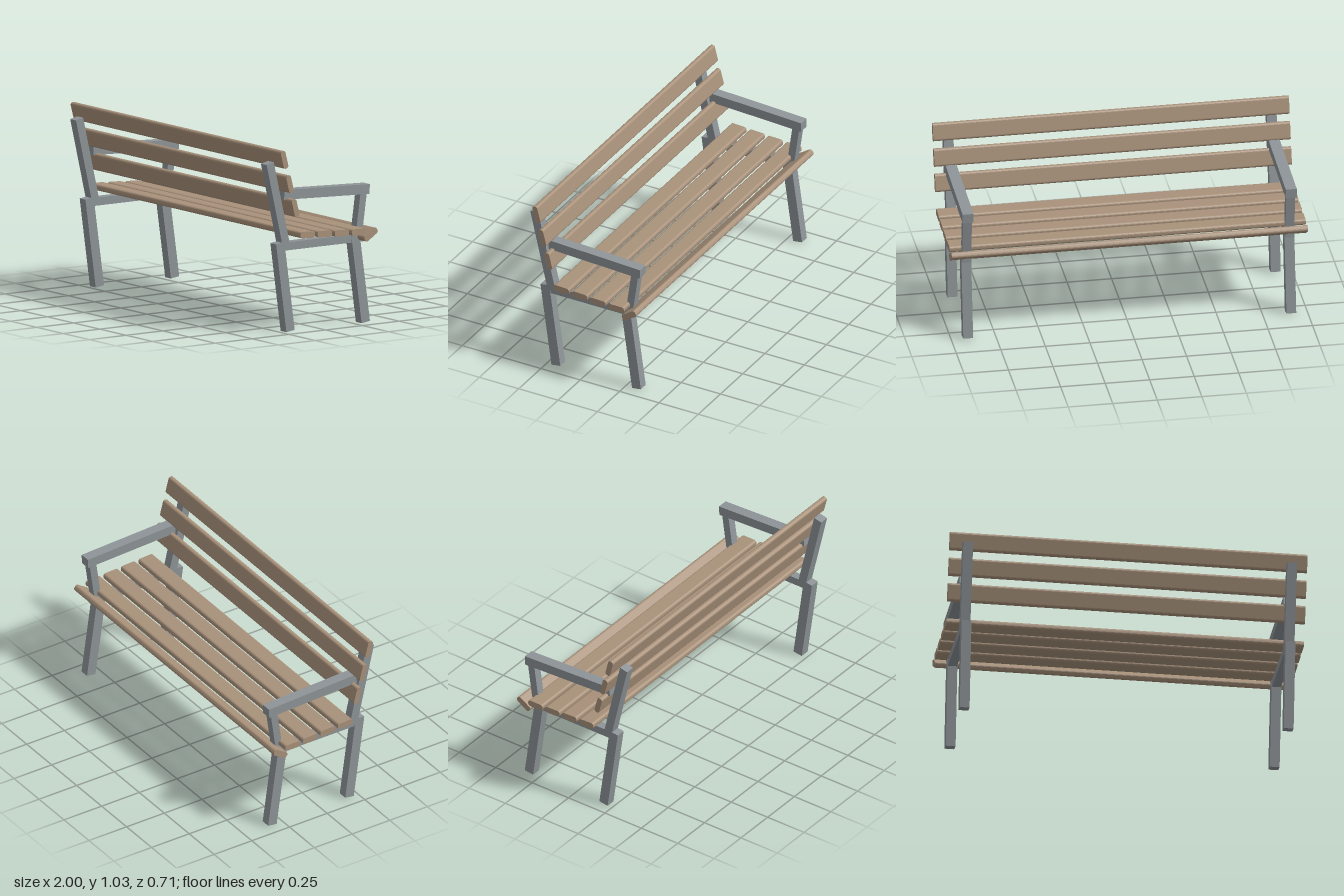
import * as THREE from 'three';

const WOOD = new THREE.MeshStandardMaterial({ color: 0xa8917a, flatShading: true });
const METAL = new THREE.MeshStandardMaterial({ color: 0x8e9498, flatShading: true });
const rad = THREE.MathUtils.degToRad;

// Plank running the full width along x, with rounded long edges.
function slatGeometry(width, thickness, radius) {
  const w = width / 2, t = thickness / 2, r = radius;
  const s = new THREE.Shape();
  s.moveTo(-w + r, -t);
  s.lineTo(w - r, -t);
  s.absarc(w - r, -t + r, r, -Math.PI / 2, 0);
  s.absarc(w - r, t - r, r, 0, Math.PI / 2);
  s.absarc(-w + r, t - r, r, Math.PI / 2, Math.PI);
  s.absarc(-w + r, -t + r, r, Math.PI, Math.PI * 1.5);
  const g = new THREE.ExtrudeGeometry(s, { depth: 2, bevelEnabled: false, curveSegments: 4 });
  return g.translate(0, 0, -1).rotateY(Math.PI / 2);
}

// Square bar between two [z, y] points on one side frame.
function bar(name, [z0, y0], [z1, y1], thickness, width) {
  const length = Math.hypot(z1 - z0, y1 - y0);
  const mesh = new THREE.Mesh(new THREE.BoxGeometry(width, thickness, length), METAL);
  mesh.position.set(0, (y0 + y1) / 2, (z0 + z1) / 2);
  mesh.rotation.x = -Math.atan2(y1 - y0, z1 - z0);
  mesh.name = name;
  return mesh;
}

function sideFrame(name, x) {
  const frame = new THREE.Group();
  frame.name = name;
  frame.position.x = x;
  frame.add(
    bar('rearLeg', [0.192, 0.004], [0.262, 0.504], 0.057, 0.055),
    bar('frontLeg', [-0.32, 0.004], [-0.25, 0.5], 0.057, 0.055),
    bar('seatRail', [0.265, 0.481], [-0.308, 0.481], 0.045, 0.05),
    bar('backPost', [0.219, 0.48], [0.33, 0.957], 0.05, 0.055),
    bar('armPost', [-0.272, 0.48], [-0.308, 0.735], 0.043, 0.05),
    bar('armrest', [0.237, 0.773], [-0.344, 0.749], 0.055, 0.062)
  );
  return frame;
}

export function createModel() {
  const bench = new THREE.Group();
  bench.name = 'bench';

  for (const side of [1, -1]) {
    bench.add(sideFrame(side > 0 ? 'leftFrame' : 'rightFrame', side * 0.907));
  }

  // Each slat: name, z, y, tilt in degrees.
  const slats = [
    ['seatSlat', 0.121, 0.546, 2.5],
    ['seatSlat', 0.005, 0.54, 2.5],
    ['seatSlat', -0.111, 0.533, 2],
    ['seatSlat', -0.228, 0.528, 0],
    ['frontEdgeSlat', -0.309, 0.505, -33],
    ['backSlat', 0.204, 0.704, 75.5],
    ['backSlat', 0.242, 0.842, 75.5],
    ['backSlat', 0.279, 0.982, 75.5],
  ];
  const seatGeo = slatGeometry(0.098, 0.036, 0.014);
  const backGeo = slatGeometry(0.103, 0.032, 0.014);
  for (const [name, z, y, tilt] of slats) {
    const slat = new THREE.Mesh(name === 'backSlat' ? backGeo : seatGeo, WOOD);
    slat.position.set(0, y, z);
    slat.rotation.x = -rad(tilt);
    slat.name = name;
    bench.add(slat);
  }
  return bench;
}
